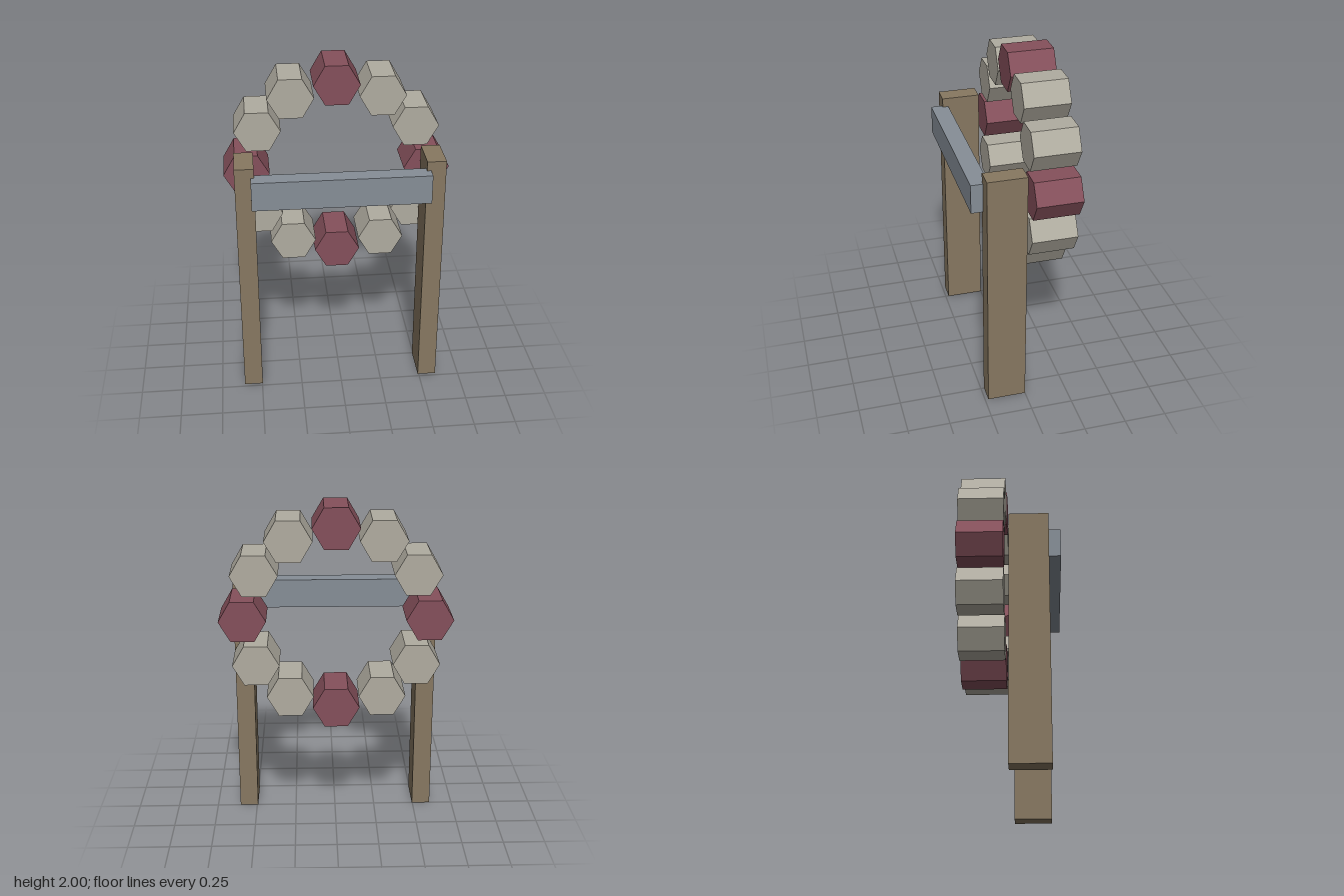
import * as THREE from 'three';

export function createModel() {
  const model = new THREE.Group();
  model.name = 'hexRingGate';

  const material = (name, color) => {
    const m = new THREE.MeshStandardMaterial({ color });
    m.name = name;
    return m;
  };
  const wood = material('wood brown', 0x877861);
  const steel = material('steel grey', 0x868e97);
  const stone = material('pale stone', 0xb0aca0);
  const red = material('dark red', 0x85505b);

  const add = (parent, name, geometry, mat, x, y, z) => {
    const mesh = new THREE.Mesh(geometry, mat);
    mesh.name = name;
    mesh.position.set(x, y, z);
    parent.add(mesh);
  };

  // Two upright posts
  const postGeometry = new THREE.BoxGeometry(0.112, 1.5, 0.23);
  add(model, 'leftPost', postGeometry, wood, 0.55, 0.75, 0.115);
  add(model, 'rightPost', postGeometry, wood, -0.553, 0.75, 0.115);

  // Crossbar let into the front of the posts
  add(model, 'crossbar', new THREE.BoxGeometry(1.035, 0.175, 0.104), steel, 0, 1.357, 0.247);

  // Ring of twelve hexagonal prisms, every third one red
  const ring = new THREE.Group();
  ring.name = 'prismRing';
  ring.position.set(0, 1.343, -0.165);
  model.add(ring);

  const prism = new THREE.CylinderGeometry(0.137, 0.137, 0.27, 6, 1, false, Math.PI / 2)
    .rotateX(Math.PI / 2)
    .toNonIndexed();
  prism.computeVertexNormals();

  for (let i = 0; i < 12; i++) {
    const a = (i / 12) * Math.PI * 2;
    const mat = i % 3 === 0 ? red : stone;
    add(ring, `ringPrism${i + 1}`, prism, mat, Math.sin(a) * 0.538, Math.cos(a) * 0.538, 0);
  }

  return model;
}
